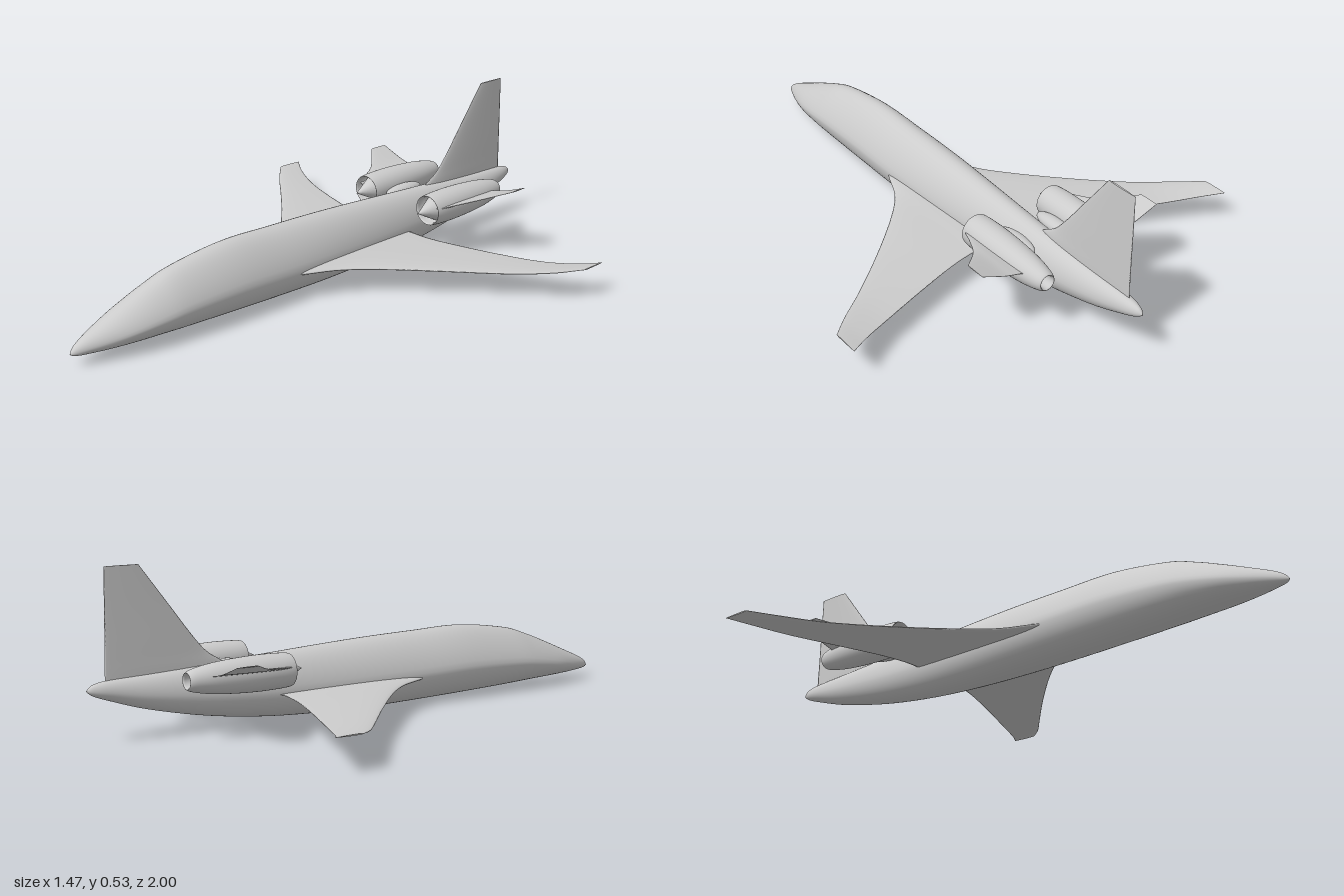
import * as THREE from 'three';

const grey = new THREE.MeshStandardMaterial({ color: 0xcccccc });
const greyOpen = new THREE.MeshStandardMaterial({ color: 0xcccccc, side: THREE.DoubleSide });

// Smoothly resample a table of section rows, with several steps per row
function resample(rows, steps) {
  const spline = new THREE.CubicInterpolant(rows.map((_, i) => i), rows.flat(), rows[0].length);
  const count = (rows.length - 1) * steps;
  return Array.from({ length: count + 1 }, (_, i) =>
    Array.from(spline.evaluate(Math.min(i / steps, rows.length - 1))));
}

// Skin a list of closed rings and cap both ends; flip reverses the faces
function loft(rings, flip = false) {
  const n = rings[0].length, pos = rings.flat(2), index = [];
  const tri = (a, b, c) => (flip ? index.push(a, c, b) : index.push(a, b, c));
  for (let i = 0; i < rings.length - 1; i++) {
    for (let j = 0; j < n; j++) {
      const k = (j + 1) % n, a = i * n + j, b = i * n + k;
      tri(a, a + n, b);
      tri(b, a + n, b + n);
    }
  }
  for (const [ring, start] of [[rings[0], true], [rings[rings.length - 1], false]]) {
    const base = pos.length / 3;
    pos.push(...ring.flat());
    for (let j = 1; j < n - 1; j++) {
      if (start) tri(base, base + j, base + j + 1);
      else tri(base, base + j + 1, base + j);
    }
  }
  const geo = new THREE.BufferGeometry();
  geo.setAttribute('position', new THREE.Float32BufferAttribute(pos, 3));
  geo.setIndex(index);
  geo.computeVertexNormals();
  return geo;
}

// Closed airfoil outline between two z positions: [z, offset] pairs
function airfoil(lead, trail, half, n = 28) {
  return Array.from({ length: n }, (_, j) => {
    const a = (j / n) * Math.PI * 2, c = (1 + Math.cos(a)) / 2;
    return [trail + (lead - trail) * c, half * Math.sin(a) * (0.5 + 0.9 * c)];
  });
}

// Wing-like surface from rows of [x, lead z, trail z, y, half thickness]
function wingGeometry(rows, side) {
  const rings = resample(rows, 6).map(([x, lead, trail, y, half]) =>
    airfoil(lead, trail, half).map(([z, o]) => [side * x, y + o, z]));
  return loft(rings, side < 0);
}

function add(parent, name, geometry, material = grey) {
  const mesh = new THREE.Mesh(geometry, material);
  mesh.name = name;
  parent.add(mesh);
  return mesh;
}

// Egg-shaped body from rows of [z, bottom, top, half width, narrowing of the top]
function fuselageGeometry() {
  const rows = [
    [1.0, 0.042, 0.046, 0.002, 0],
    [0.985, 0.035, 0.063, 0.014, 0],
    [0.95, 0.031, 0.083, 0.03, 0.05],
    [0.88, 0.027, 0.113, 0.056, 0.12],
    [0.8, 0.024, 0.147, 0.079, 0.22],
    [0.7, 0.02, 0.187, 0.095, 0.3],
    [0.6, 0.015, 0.218, 0.102, 0.33],
    [0.4, 0.008, 0.244, 0.107, 0.32],
    [0.2, 0.003, 0.241, 0.107, 0.28],
    [0, 0, 0.236, 0.102, 0.22],
    [-0.2, 0.003, 0.227, 0.091, 0.18],
    [-0.4, 0.015, 0.216, 0.077, 0.14],
    [-0.6, 0.041, 0.205, 0.063, 0.1],
    [-0.8, 0.084, 0.194, 0.045, 0.05],
    [-0.93, 0.125, 0.187, 0.027, 0],
    [-0.98, 0.144, 0.178, 0.014, 0],
    [-1.0, 0.158, 0.163, 0.002, 0],
  ];
  const n = 48;
  return loft(resample(rows, 5).map(([z, bottom, top, w, pear]) => {
    const mid = bottom + (top - bottom) * 0.45;
    return Array.from({ length: n }, (_, j) => {
      const a = (j / n) * Math.PI * 2, s = Math.sin(a);
      return [
        w * Math.cos(a) * (1 - pear * Math.max(s, 0)),
        mid + s * (s > 0 ? top - mid : mid - bottom),
        z,
      ];
    });
  }));
}

// Upright fin from rows of [y, lead z, trail z, half thickness]
function finGeometry() {
  const rows = [
    [0.17, -0.48, -0.94, 0.009],
    [0.21, -0.54, -0.94, 0.009],
    [0.245, -0.595, -0.939, 0.008],
    [0.3, -0.645, -0.938, 0.007],
    [0.4, -0.722, -0.937, 0.005],
    [0.53, -0.822, -0.935, 0.003],
  ];
  return loft(resample(rows, 6).map(([y, lead, trail, half]) =>
    airfoil(lead, trail, half).map(([z, o]) => [-o, y, z])));
}

// Hollow engine pod: exhaust recess, curved shell, rounded lip and intake
function nacelleGeometry() {
  const v = (r, z) => new THREE.Vector2(r, z);
  const shell = new THREE.SplineCurve([
    v(0.022, -0.74), v(0.027, -0.744), v(0.036, -0.72), v(0.047, -0.66), v(0.054, -0.58),
    v(0.057, -0.5), v(0.056, -0.43), v(0.053, -0.392), v(0.05, -0.388), v(0.047, -0.394),
  ]).getPoints(60);
  const profile = [v(0, -0.69), v(0.02, -0.69), ...shell, v(0.044, -0.44), v(0, -0.44)];
  return new THREE.LatheGeometry(profile, 40).rotateX(Math.PI / 2);
}

export function createModel() {
  const model = new THREE.Group();
  model.name = 'businessJet';
  add(model, 'fuselage', fuselageGeometry());
  add(model, 'tailFin', finGeometry());

  const wingRows = [
    [0.04, 0.26, -0.375, 0.094, 0.01],
    [0.105, 0.17, -0.376, 0.094, 0.01],
    [0.16, 0.05, -0.38, 0.092, 0.009],
    [0.25, -0.06, -0.4, 0.09, 0.008],
    [0.4, -0.205, -0.448, 0.086, 0.006],
    [0.55, -0.337, -0.503, 0.085, 0.005],
    [0.66, -0.43, -0.553, 0.094, 0.004],
    [0.735, -0.505, -0.6, 0.107, 0.002],
  ];
  const tailRows = [
    [0.16, -0.4, -0.68, 0.193, 0.004],
    [0.2, -0.405, -0.68, 0.203, 0.004],
    [0.22, -0.45, -0.68, 0.208, 0.004],
    [0.26, -0.525, -0.68, 0.219, 0.003],
    [0.34, -0.608, -0.68, 0.249, 0.0015],
  ];

  for (const side of [1, -1]) {
    const label = side > 0 ? 'left' : 'right';
    add(model, label + 'Wing', wingGeometry(wingRows, side));
    add(model, label + 'Tailplane', wingGeometry(tailRows, side));

    // Engine pod with its intake cone
    const engine = new THREE.Group();
    engine.name = label + 'Engine';
    engine.position.set(side * 0.148, 0.187, 0);
    add(engine, 'nacelle', nacelleGeometry(), greyOpen);
    const cone = new THREE.ConeGeometry(0.042, 0.085, 32).rotateX(Math.PI / 2);
    add(engine, 'intakeCone', cone).position.z = -0.381;
    model.add(engine);

    // Rounded pylon joining engine and body
    const pylon = add(model, label + 'Pylon', new THREE.SphereGeometry(1, 28, 18));
    pylon.scale.set(0.028, 0.022, 0.085);
    pylon.position.set(side * 0.076, 0.18, -0.505);
  }
  return model;
}
